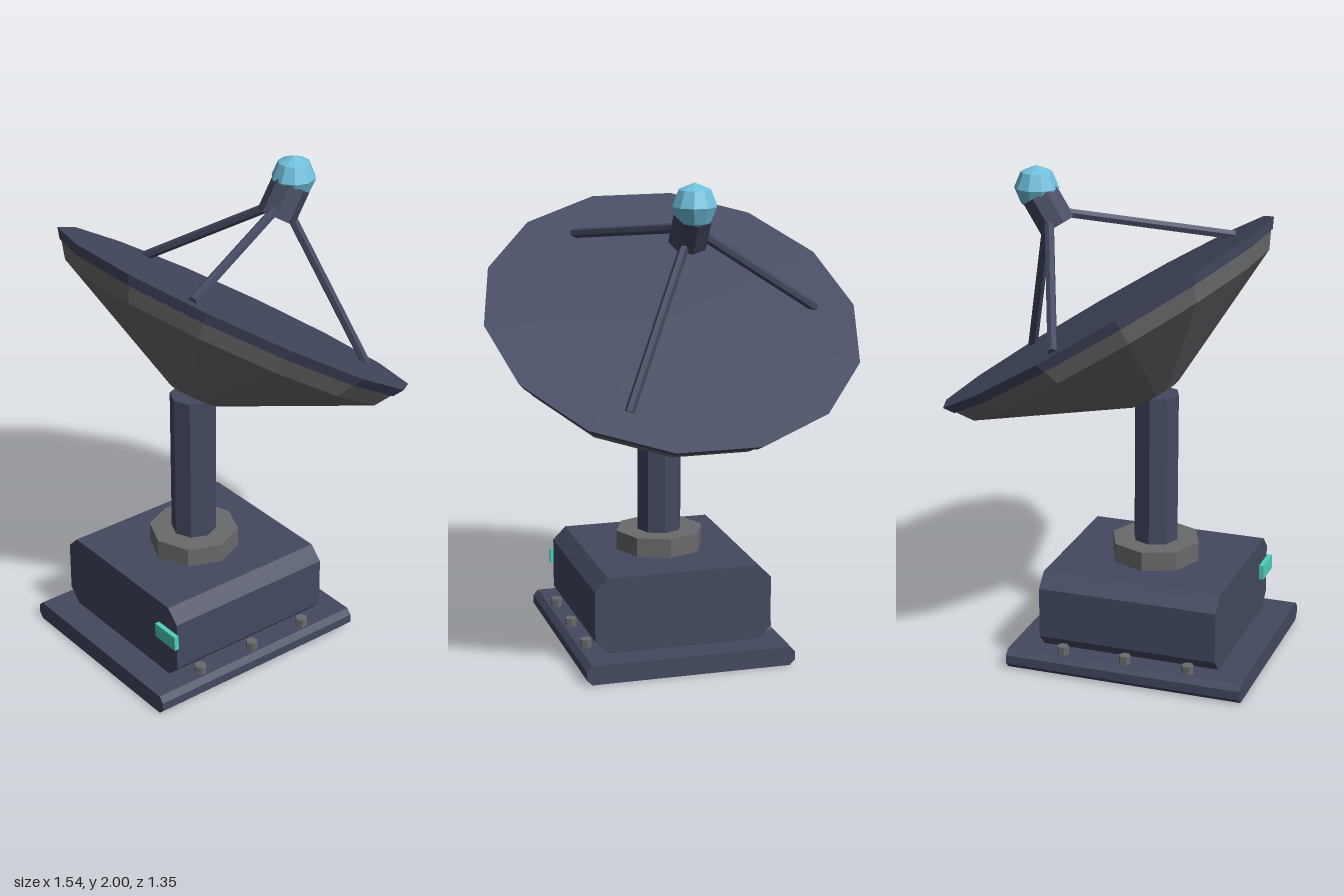
import * as THREE from 'three';

const mat = (name, color) => {
  const m = new THREE.MeshStandardMaterial({ color, flatShading: true });
  m.name = name;
  return m;
};

export function createModel() {
  const navy = mat('navy metal', 0x434960);
  const grey = mat('grey metal', 0x696a6c);
  const teal = mat('teal panel', 0x4fd0bb);
  const blue = mat('pale blue', 0x70c0dc);

  const model = new THREE.Group();
  model.name = 'satelliteDish';
  const Z = 0.18; // centre line of the base

  const add = (parent, name, geometry, material, x = 0, y = 0, z = 0) => {
    const mesh = new THREE.Mesh(geometry, material);
    mesh.name = name;
    mesh.position.set(x, y, z);
    parent.add(mesh);
    return mesh;
  };

  // Block with its four long edges chamfered, running along z
  const chamferedBlock = (w, h, d, c) => {
    const a = w / 2;
    const pts = [[-a + c, 0], [a - c, 0], [a, c], [a, h - c], [a - c, h], [-a + c, h], [-a, h - c], [-a, c]];
    const shape = new THREE.Shape(pts.map(([x, y]) => new THREE.Vector2(x, y)));
    return new THREE.ExtrudeGeometry(shape, { depth: d, bevelEnabled: false }).translate(0, 0, -d / 2);
  };

  // Base
  add(model, 'basePlate', chamferedBlock(0.876, 0.08, 0.99, 0.022), navy, 0, 0, Z);
  add(model, 'housing', chamferedBlock(0.745, 0.32, 0.745, 0.055), navy, 0, 0.08, Z);
  add(model, 'statusPanel', new THREE.BoxGeometry(0.13, 0.062, 0.02), teal, 0.32, 0.27, 0.563);
  for (const x of [-0.386, 0.386]) {
    for (const dz of [-0.265, 0, 0.265]) {
      add(model, 'bolt', new THREE.CylinderGeometry(0.025, 0.025, 0.035, 6), grey, x, 0.0975, Z + dz);
    }
  }

  // Mast
  add(model, 'collar', new THREE.CylinderGeometry(0.185, 0.185, 0.08, 8), grey, 0, 0.44, Z);
  add(model, 'mast', new THREE.CylinderGeometry(0.093, 0.093, 0.705, 8), navy, 0, 0.7525, Z);

  // Tilted dish assembly, origin at the centre of the dish face
  const dish = new THREE.Group();
  dish.name = 'dish';
  dish.position.set(0, 1.43, -0.035);
  dish.rotation.x = -0.558;
  model.add(dish);

  const SIDES = 14;
  const ring = (rTop, rBottom, h, open) =>
    new THREE.CylinderGeometry(rTop, rBottom, h, SIDES, 1, open, Math.PI / SIDES);
  add(dish, 'dishFaceAndRim', ring(0.77, 0.742, 0.04, false), navy, 0, -0.02, 0);
  add(dish, 'dishShoulder', ring(0.735, 0.69, 0.065, true), grey, 0, -0.0725, 0);
  add(dish, 'dishBack', ring(0.69, 0.11, 0.285, false), grey, 0, -0.2475, 0);

  // Three struts carrying the feed
  const up = new THREE.Vector3(0, 1, 0);
  const top = new THREE.Vector3(0, 0.46, 0);
  for (let i = 0; i < 3; i++) {
    const a = Math.PI + (i * Math.PI * 2) / 3;
    const foot = new THREE.Vector3(Math.cos(a) * 0.6, 0, Math.sin(a) * 0.6);
    const dir = top.clone().sub(foot);
    const strut = add(dish, 'strut', new THREE.CylinderGeometry(0.02, 0.02, dir.length(), 6), navy);
    strut.position.copy(foot).addScaledVector(dir, 0.5);
    strut.quaternion.setFromUnitVectors(up, dir.normalize());
  }

  // Feed horn and its upright tip
  add(dish, 'feedHorn', new THREE.CylinderGeometry(0.08, 0.08, 0.14, 8), navy, 0, 0.46, 0);
  add(model, 'feedTip', new THREE.SphereGeometry(0.09, 10, 4), blue, 0, 1.91, -0.33);

  return model;
}
